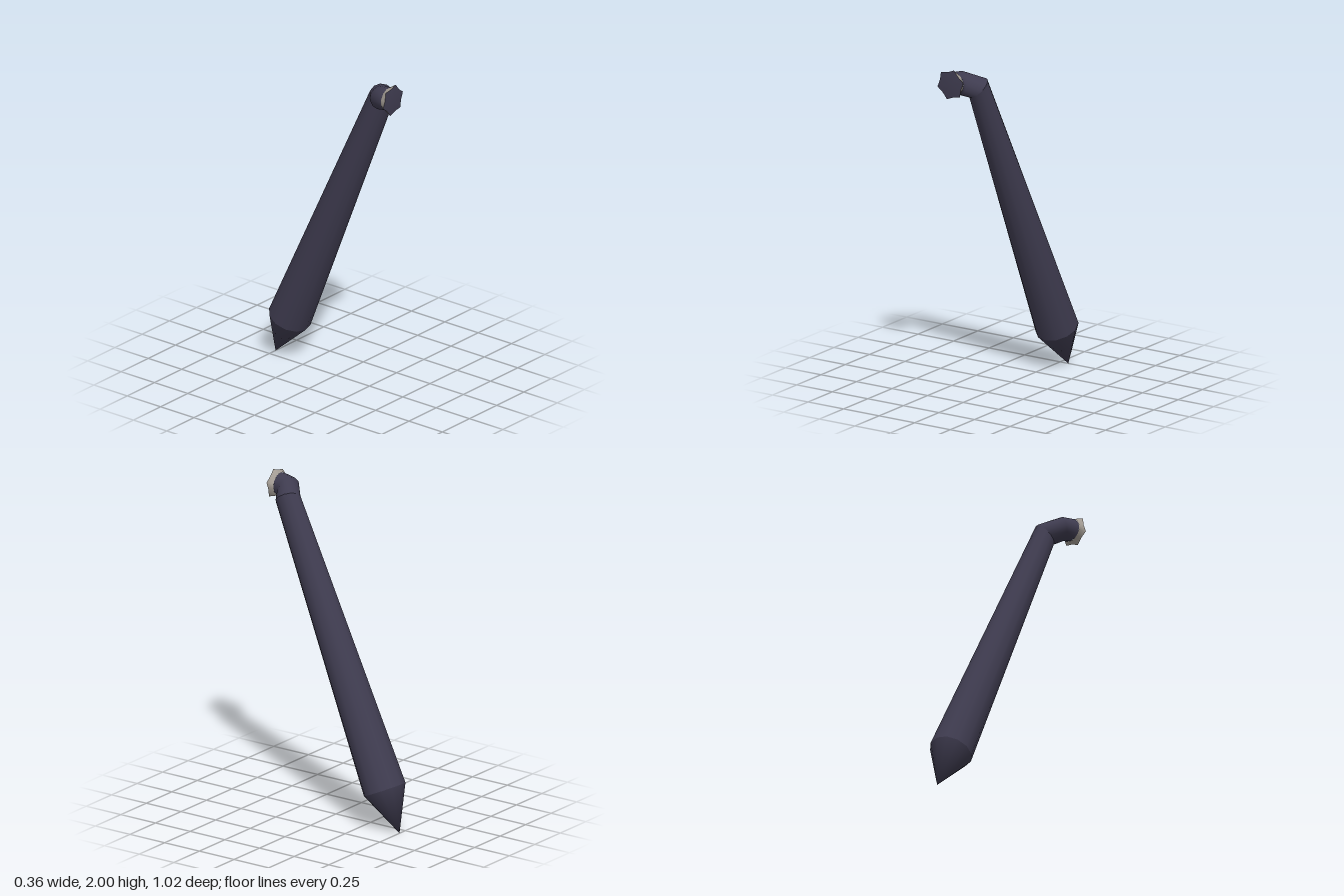
import * as THREE from 'three';

const SIDES = 12;
const V = (x, y, z) => new THREE.Vector3(x, y, z);

// A ring of points around centre c, facing along n; radius may vary by index
function ring(c, n, radius, turn = 0) {
  const w = n.clone().normalize();
  const u = V(1, 0, 0).addScaledVector(w, -w.x).normalize();
  const v = w.clone().cross(u);
  return Array.from({ length: SIDES }, (_, i) => {
    const a = turn + (i / SIDES) * Math.PI * 2;
    const r = typeof radius === 'function' ? radius(i) : radius;
    return c.clone().addScaledVector(u, r * Math.cos(a)).addScaledVector(v, r * Math.sin(a));
  });
}

// Smooth skin over successive rings, ordered along their facing direction
function loft(rings) {
  const index = [];
  for (let k = 0; k < rings.length - 1; k++) {
    for (let i = 0; i < SIDES; i++) {
      const j = (i + 1) % SIDES;
      const a = k * SIDES + i, b = k * SIDES + j;
      index.push(a, b, b + SIDES, a, b + SIDES, a + SIDES);
    }
  }
  const g = new THREE.BufferGeometry().setFromPoints(rings.flat());
  g.setIndex(index);
  g.computeVertexNormals();
  return g;
}

// Fan from a ring to a single point; reversed when the point lies behind the ring
function fan(points, tip, reversed) {
  const index = [];
  for (let i = 0; i < SIDES; i++) {
    const j = (i + 1) % SIDES;
    index.push(...(reversed ? [j, i, SIDES] : [i, j, SIDES]));
  }
  const g = new THREE.BufferGeometry().setFromPoints([...points, tip]);
  g.setIndex(index);
  g.computeVertexNormals();
  return g;
}

export function createModel() {
  const group = new THREE.Group();
  const dark = new THREE.MeshStandardMaterial({ name: 'dark violet', color: 0x3f3c50 });
  const grey = new THREE.MeshStandardMaterial({ name: 'warm grey', color: 0xa39c94, side: THREE.DoubleSide });
  const add = (name, geometry, material) => {
    const mesh = new THREE.Mesh(geometry, material);
    mesh.name = name;
    group.add(mesh);
  };

  // Cross-sections from the foot up to the flared mouth
  const foot = ring(V(0.053, 0.247, -0.39), V(-0.053, 1.62, 0.735), 0.129);
  const joint = ring(V(0, 1.868, 0.345), V(-0.45, 0.72, 0.54), 0.075);
  const bend = ring(V(-0.083, 1.9, 0.405), V(-0.76, 0.36, 1.54), 0.071);
  const neck = ring(V(-0.09, 1.91, 0.467), V(0, 0, 1), 0.069);

  // Long tapering shaft and its pointed end
  add('shaft', loft([foot, joint]), dark);
  add('point', fan(foot, V(0.057, 0, -0.5), true), dark);

  // Bent elbow
  add('elbow', loft([joint, bend, neck]), dark);

  // Six-pointed flared collar with a closed dark face
  const turn = Math.PI / 12;
  const collarBack = ring(V(-0.09, 1.91, 0.466), V(0, 0, 1), 0.069, turn);
  const rim = ring(V(-0.09, 1.91, 0.5), V(0, 0, 1), (i) => (i % 2 ? 0.076 : 0.094), turn);
  add('collar', loft([collarBack, rim]), grey);
  add('collarFace', fan(rim, V(-0.09, 1.91, 0.508), false), dark);

  return group;
}
